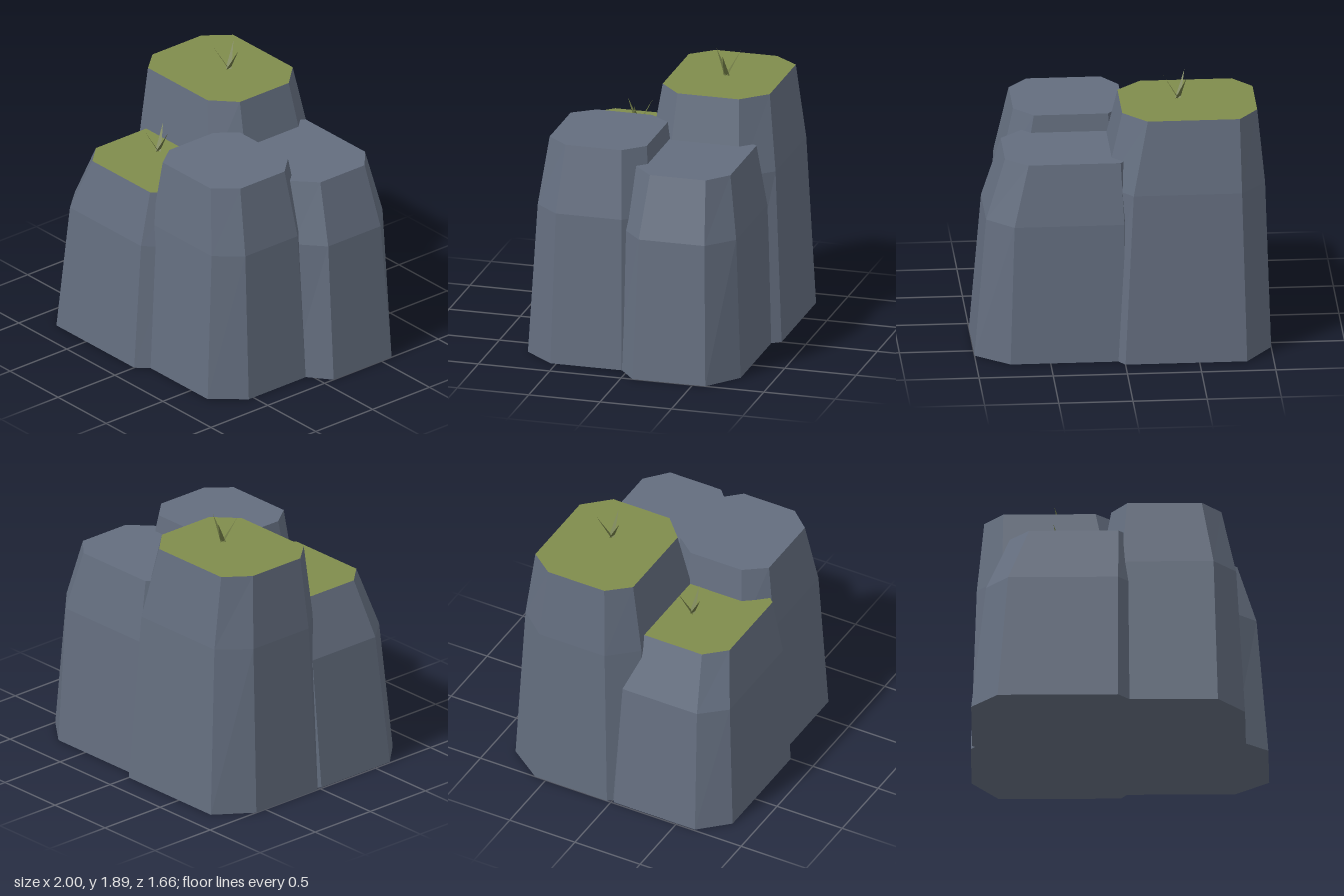
import * as THREE from 'three';

// Each ring: y, outer x range, outer z range, then the x and z ranges of the straight edges
const ROCKS = [
  { name: 'backLeftRock', mossy: true, rings: [
    [0, -1.0, 0.18, -0.83, 0.17, -0.82, 0.0, -0.58, -0.03],
    [1.19, -0.96, 0.12, -0.77, 0.12, -0.79, -0.06, -0.57, -0.07],
    [1.70, -0.91, 0.0, -0.70, 0.05, -0.78, -0.16, -0.53, -0.10]] },
  { name: 'frontLeftRock', mossy: true, rings: [
    [0, -0.99, 0.18, -0.15, 0.83, -0.81, 0.0, 0.02, 0.64],
    [0.90, -0.89, 0.16, -0.12, 0.77, -0.74, 0.0, 0.03, 0.60],
    [1.28, -0.73, 0.13, -0.05, 0.69, -0.60, 0.0, 0.08, 0.55]] },
  { name: 'backRightRock', mossy: false, rings: [
    [0, -0.17, 1.0, -0.77, 0.10, 0.0, 0.77, -0.59, -0.08],
    [0.97, -0.12, 0.92, -0.73, 0.06, 0.0, 0.74, -0.56, -0.10],
    [1.39, -0.08, 0.79, -0.66, 0.0, 0.02, 0.64, -0.53, -0.14]] },
  { name: 'frontRightRock', mossy: false, rings: [
    [0, -0.18, 0.85, -0.14, 0.75, 0.0, 0.67, 0.04, 0.54],
    [1.05, -0.13, 0.79, -0.10, 0.69, 0.02, 0.64, 0.06, 0.52],
    [1.51, -0.05, 0.69, -0.05, 0.63, 0.06, 0.56, 0.09, 0.48]] },
];

// Eight corners of a chamfered rectangle, counter-clockwise from above
function ringPoints([y, x0, x1, z0, z1, ex0, ex1, ez0, ez1]) {
  return [[x1, ez1], [x1, ez0], [ex1, z0], [ex0, z0], [x0, ez0], [x0, ez1], [ex0, z1], [ex1, z1]]
    .map(([x, z]) => [x, y, z]);
}

function rockGeometry(rings) {
  const loops = rings.map(ringPoints);
  const pos = [];
  const tri = (a, b, c) => pos.push(...a, ...b, ...c);
  // Sides
  for (let k = 0; k < loops.length - 1; k++) {
    for (let i = 0; i < 8; i++) {
      const j = (i + 1) % 8;
      tri(loops[k][i], loops[k][j], loops[k + 1][j]);
      tri(loops[k][i], loops[k + 1][j], loops[k + 1][i]);
    }
  }
  // Underside, then the top as its own material group
  const low = loops[0], high = loops[loops.length - 1];
  for (let i = 1; i < 7; i++) tri(low[0], low[i + 1], low[i]);
  const split = pos.length / 3;
  for (let i = 1; i < 7; i++) tri(high[0], high[i], high[i + 1]);

  const geo = new THREE.BufferGeometry();
  geo.setAttribute('position', new THREE.Float32BufferAttribute(pos, 3));
  geo.addGroup(0, split, 0);
  geo.addGroup(split, pos.length / 3 - split, 1);
  geo.computeVertexNormals();
  return geo;
}

// Three flat blades leaning outwards
function grassTuft(material) {
  const tuft = new THREE.Group();
  tuft.name = 'grassTuft';
  const geo = new THREE.BufferGeometry();
  geo.setAttribute('position', new THREE.Float32BufferAttribute(
    [0, 0, 0.02, 0, 0, -0.02, 0.1, 0.17, 0], 3));
  geo.computeVertexNormals();
  for (let i = 0; i < 3; i++) {
    const blade = new THREE.Mesh(geo, material);
    blade.name = 'grassBlade';
    blade.rotation.y = (i * Math.PI * 2) / 3;
    tuft.add(blade);
  }
  return tuft;
}

export function createModel() {
  const model = new THREE.Group();
  model.name = 'rockCluster';
  const stone = new THREE.MeshStandardMaterial({ color: 0x646e7f, flatShading: true });
  stone.name = 'stone';
  const moss = new THREE.MeshStandardMaterial({ color: 0x808c4c, flatShading: true });
  moss.name = 'moss';
  const grass = new THREE.MeshStandardMaterial({ color: 0x6f7a45, flatShading: true, side: THREE.DoubleSide });
  grass.name = 'grass';

  for (const { name, mossy, rings } of ROCKS) {
    const rock = new THREE.Mesh(rockGeometry(rings), [stone, mossy ? moss : stone]);
    rock.name = name;
    model.add(rock);
  }

  // Tufts sit just above the two mossy tops
  for (const [y, z] of [[1.72, -0.33], [1.305, 0.29]]) {
    const tuft = grassTuft(grass);
    tuft.position.set(-0.39, y, z);
    model.add(tuft);
  }
  return model;
}
